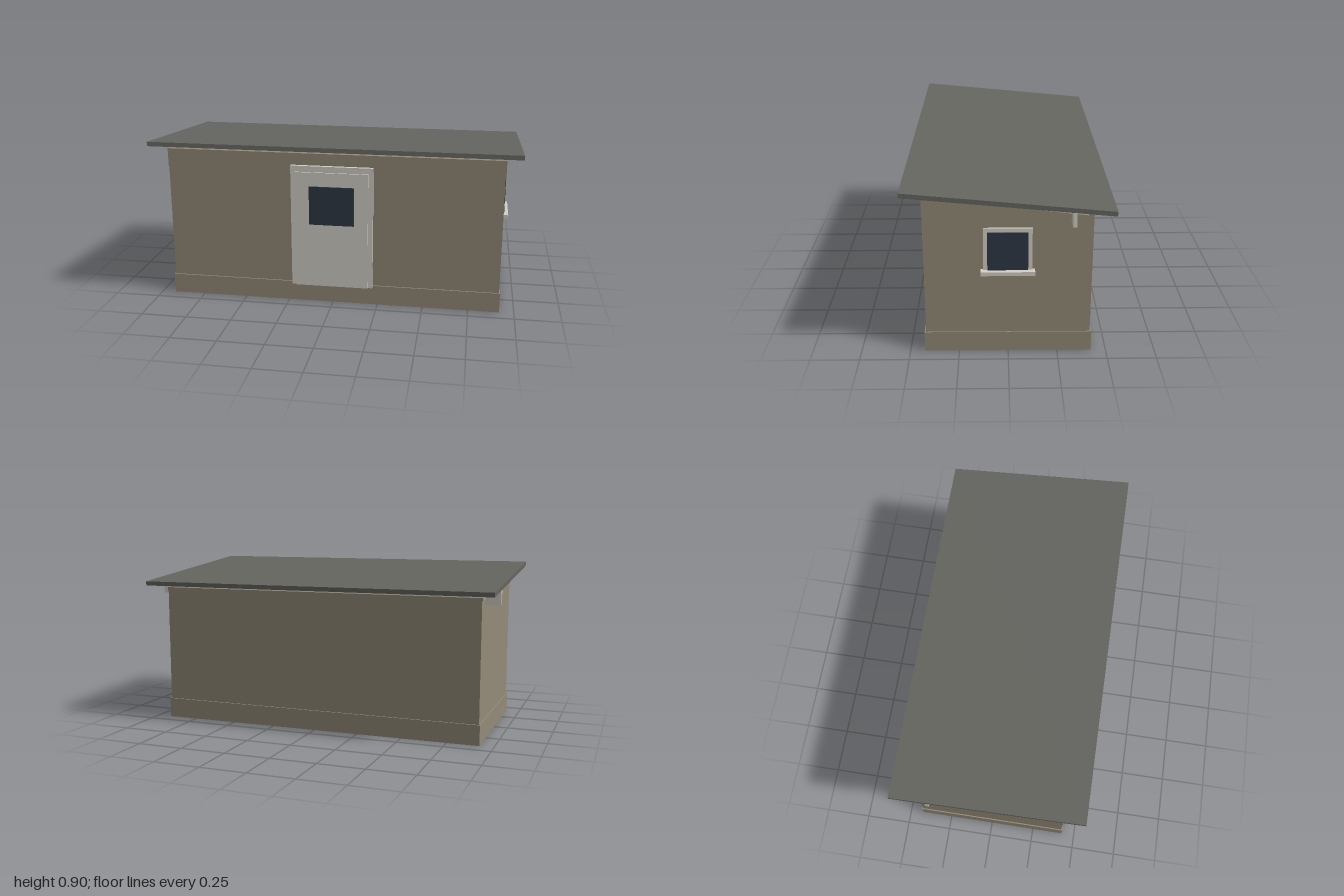
import * as THREE from 'three';

export function createModel() {
  const model = new THREE.Group();
  model.name = 'hut';

  const mat = (name, color) => {
    const m = new THREE.MeshStandardMaterial({ color });
    m.name = name;
    return m;
  };
  const wall = mat('wallTan', 0x938a78);
  const trim = mat('trimOffWhite', 0xd4d0c7);
  const roofing = mat('roofGrey', 0x656560);
  const glass = mat('glassNavy', 0x2f3845);

  // Box given by its extents on each axis
  const box = (name, material, [x0, x1], [y0, y1], [z0, z1]) => {
    const mesh = new THREE.Mesh(new THREE.BoxGeometry(x1 - x0, y1 - y0, z1 - z0), material);
    mesh.position.set((x0 + x1) / 2, (y0 + y1) / 2, (z0 + z1) / 2);
    mesh.name = name;
    model.add(mesh);
    return mesh;
  };

  // Plinth and walls
  box('plinth', wall, [-0.925, 0.92], [0, 0.11], [-0.423, 0.425]);
  box('walls', wall, [-0.919, 0.915], [0.11, 0.755], [-0.415, 0.417]);
  box('frontWallTop', wall, [-0.922, 0.918], [0.75, 0.85], [0.387, 0.418]);
  box('backWallTop', wall, [-0.922, 0.918], [0.75, 0.768], [-0.416, -0.387]);

  // Sloping gables at both ends
  const slope = new THREE.Shape([
    new THREE.Vector2(-0.417, 0.752),
    new THREE.Vector2(0.405, 0.752),
    new THREE.Vector2(-0.417, 0.85),
  ]);
  for (const [name, x] of [['leftGable', 0.89], ['rightGable', -0.922]]) {
    const geometry = new THREE.ExtrudeGeometry(slope, { depth: 0.028, bevelEnabled: false });
    geometry.rotateY(Math.PI / 2);
    const gable = new THREE.Mesh(geometry, wall);
    gable.position.x = x;
    gable.name = name;
    model.add(gable);
  }

  // Tilted roof slab and the beam carrying its low edge
  const roof = box('roof', roofing, [-1, 1], [0.832, 0.856], [-0.517, 0.517]);
  roof.rotation.x = -0.095;
  box('roofBeam', trim, [-1, 1], [0.727, 0.802], [-0.324, -0.305]);

  // Front door
  box('doorFrame', trim, [-0.229, 0.222], [0.1, 0.785], [0.41, 0.437]);
  box('door', trim, [-0.204, 0.196], [0.1, 0.752], [0.43, 0.445]);
  box('doorGlass', glass, [-0.126, 0.12], [0.46, 0.675], [0.443, 0.452]);

  // Side window
  box('windowFrame', trim, [0.905, 0.926], [0.46, 0.69], [-0.118, 0.123]);
  box('windowGlass', glass, [0.921, 0.93], [0.465, 0.67], [-0.098, 0.103]);
  box('windowSill', trim, [0.905, 0.952], [0.446, 0.467], [-0.132, 0.137]);

  return model;
}
